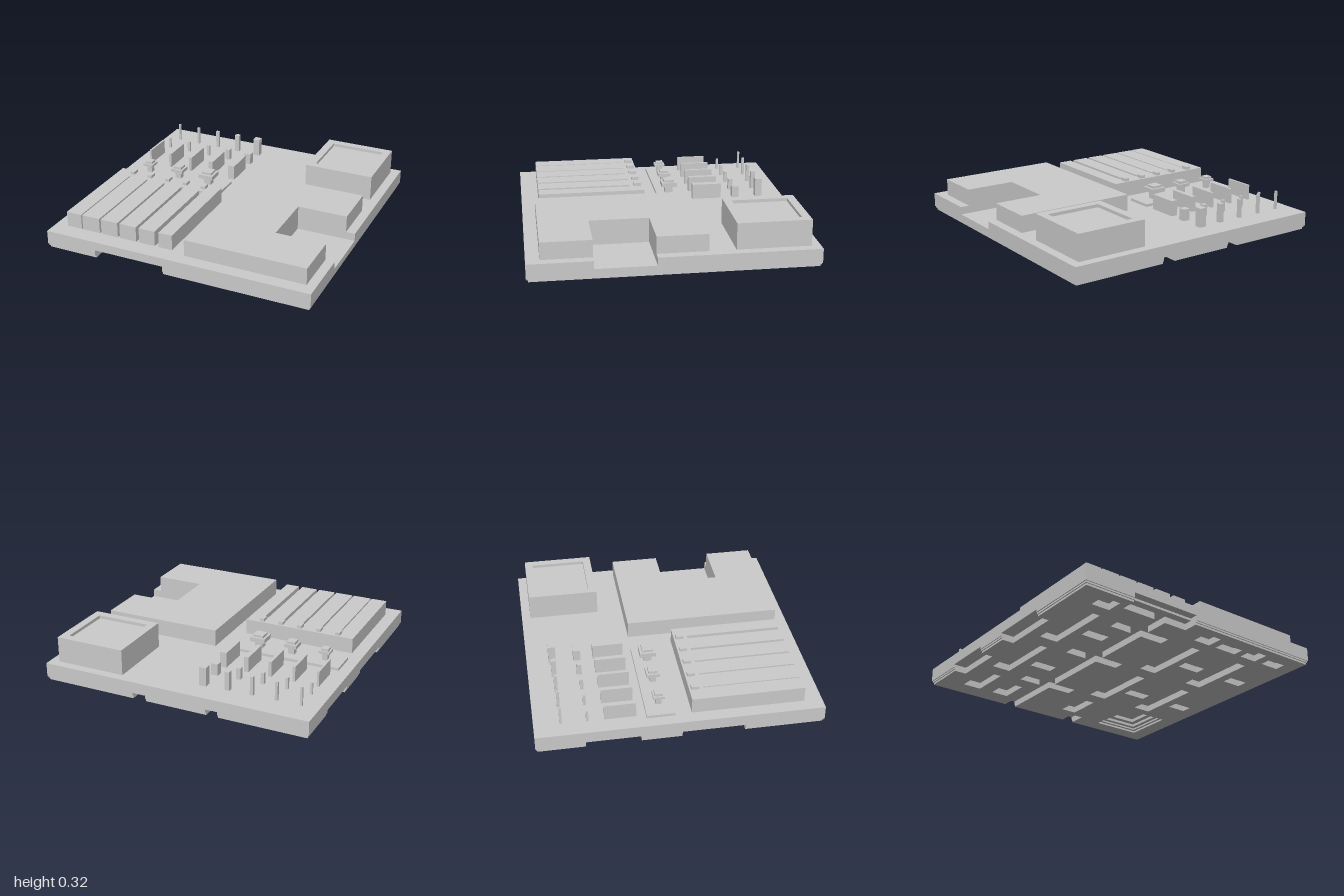
import * as THREE from 'three';

export function createModel() {
  const model = new THREE.Group();
  const grey = new THREE.MeshStandardMaterial({ color: 0xcccccc });
  grey.name = 'plain grey';

  const add = (name, geometry) => {
    const mesh = new THREE.Mesh(geometry, grey);
    mesh.name = name;
    model.add(mesh);
    return mesh;
  };
  // Box given by its limits
  const box = (name, x0, x1, y0, y1, z0, z1) =>
    add(name, new THREE.BoxGeometry(x1 - x0, y1 - y0, z1 - z0)
      .translate((x0 + x1) / 2, (y0 + y1) / 2, (z0 + z1) / 2));
  const post = (name, x, z, size, y0, y1, depth = size) =>
    box(name, x - size / 2, x + size / 2, y0, y1, z - depth / 2, z + depth / 2);
  // Plan outline in (x, z), raised from y0 to y1, with rectangular holes [x0, x1, z0, z1];
  // holes run the opposite way round to the outline
  const slab = (name, outline, y0, y1, holes = []) => {
    const toPoints = (list) => list.map(([x, z]) => new THREE.Vector2(x, -z));
    const shape = new THREE.Shape(toPoints(outline));
    for (const [x0, x1, z0, z1] of holes) {
      shape.holes.push(new THREE.Path(toPoints([[x0, z0], [x0, z1], [x1, z1], [x1, z0]])));
    }
    const geometry = new THREE.ExtrudeGeometry(shape, { depth: y1 - y0, bevelEnabled: false });
    return add(name, geometry.rotateX(-Math.PI / 2).translate(0, y0, 0));
  };
  const square = (cx, cz, r) => [cx - r, cx + r, cz - r, cz + r];

  // Underside: stepped rim, long and cross slots, a branching channel, edge notches, stepped pocket
  const lanes = (x) => [[-0.42, 0.08], [0.2, 0.7], [0.8, 0.92]].map(([a, b]) => [x - 0.07, x + 0.07, a, b]);
  const crossSlots = (x0, x1) => [-0.2, 0.44, 0.84].map((z) => [x0, x1, z - 0.04, z + 0.04]);
  const branches = [-0.5, 0.1, 0.62];
  for (const [y0, y1, h, pocket] of [
    [0, 0.015, 0.987, 0.19], [0.015, 0.028, 0.994, 0.17], [0.028, 0.048, 1, 0.14]]) {
    slab('underside right', [
      [-0.26, -h], [0.2, -h], [0.2, -0.85], [0.3, -0.85], [0.3, -h], [h, -h], [h, h],
      [-0.08, h], [-0.08, 0.88], [-0.26, 0.88],
      ...[...branches].reverse().flatMap((z) =>
        [[-0.26, z + 0.08], [-0.08, z + 0.08], [-0.08, z], [-0.26, z]]),
    ], y0, y1, [
      square(0.67, -0.68, pocket), ...lanes(0.58), ...lanes(0.14),
      ...crossSlots(0.27, 0.45), ...crossSlots(0.72, 0.87), [0.07, 0.19, -0.8, -0.54],
    ]);
    slab('underside left', [
      [-h, -h], [-0.35, -h],
      ...branches.flatMap((z) =>
        [[-0.35, z], [-0.52, z], [-0.52, z + 0.08], [-0.35, z + 0.08]]),
      [-0.35, 0.88], [-0.61, 0.88], [-0.61, h], [-h, h],
      [-h, 0.44], [-0.9, 0.44], [-0.9, 0], [-h, 0], [-h, -0.28], [-0.9, -0.28],
      [-0.9, -0.66], [-h, -0.66],
    ], y0, y1, [
      ...lanes(-0.74), [-0.6, -0.43, -0.24, -0.16], [-0.6, -0.43, 0.4, 0.48],
      [-0.81, -0.67, -0.84, -0.54], [-0.56, -0.43, -0.84, -0.62],
    ]);
  }

  // Base plate: notched lower part, upper part cut away at the side
  const pocketTop = [square(0.67, -0.68, 0.1)];
  slab('base plate bottom', [
    [-1, -1], [1, -1], [1, 1], [-0.08, 1], [-0.08, 0.94], [-0.61, 0.94], [-0.61, 1], [-1, 1],
  ], 0.048, 0.065, pocketTop);
  slab('base plate middle', [[-1, -1], [1, -1], [1, 1], [-1, 1]], 0.065, 0.073, pocketTop);
  slab('base plate top', [
    [-1, -1], [1, -1], [1, 0.13], [0.567, 0.13], [0.567, 0.553], [1, 0.553], [1, 1], [-1, 1],
  ], 0.073, 0.13);

  // Large block with side cut-out
  slab('large block', [
    [0.042, -0.227], [0.933, -0.227], [0.933, 0.13], [0.567, 0.13], [0.567, 0.553],
    [0.933, 0.553], [0.933, 0.905], [0.042, 0.905],
  ], 0.13, 0.253);

  // Square tower with a shallow tray on top
  box('tower body', 0.413, 0.933, 0.13, 0.295, -0.935, -0.415);
  slab('tower rim', [[0.413, -0.935], [0.933, -0.935], [0.933, -0.415], [0.413, -0.415]],
    0.295, 0.318, [[0.472, 0.874, -0.876, -0.475]]);

  // Bars joined at the back, with widening gaps between them
  box('bar bridge', -0.907, -0.067, 0.13, 0.243, 0.08, 0.18);
  const gaps = [[-0.785, 0.009], [-0.635, 0.013], [-0.487, 0.017], [-0.337, 0.023], [-0.186, 0.031]];
  let start = -0.907;
  for (const [x, width] of [...gaps, [-0.067, 0]]) {
    box('bar', start, x - width / 2, 0.13, 0.243, 0.18, 0.872);
    start = x + width / 2;
    if (width) post('bar nub', x, 0.122, 0.034, 0.243, 0.265, 0.055);
  }

  // Raised strip carrying three capped pedestals
  box('pedestal strip', -0.917, -0.127, 0.13, 0.15, -0.233, -0.037);
  [[-0.783, 0.08, 0.242], [-0.528, 0.095, 0.248], [-0.275, 0.115, 0.255]].forEach(([x, size, top]) => {
    post('pedestal stem', x, -0.133, size * 0.5, 0.15, 0.205);
    post('pedestal cap', x, -0.133, size, 0.205, top - 0.018);
    post('pedestal nub', x, -0.133, size * 0.68, top - 0.018, top);
  });

  // Thin walls and two rows of pins, growing thicker
  [[-0.873, 0.016], [-0.697, 0.02], [-0.519, 0.024], [-0.34, 0.035], [-0.162, 0.052]].forEach(([x, size]) => {
    post('thin wall', x, -0.41, size, 0.13, 0.243, 0.22);
    post('tall pin', x, -0.815, size, 0.13, 0.267);
    post('short pin', x, -0.635, size, 0.13, 0.215);
  });

  return model;
}
